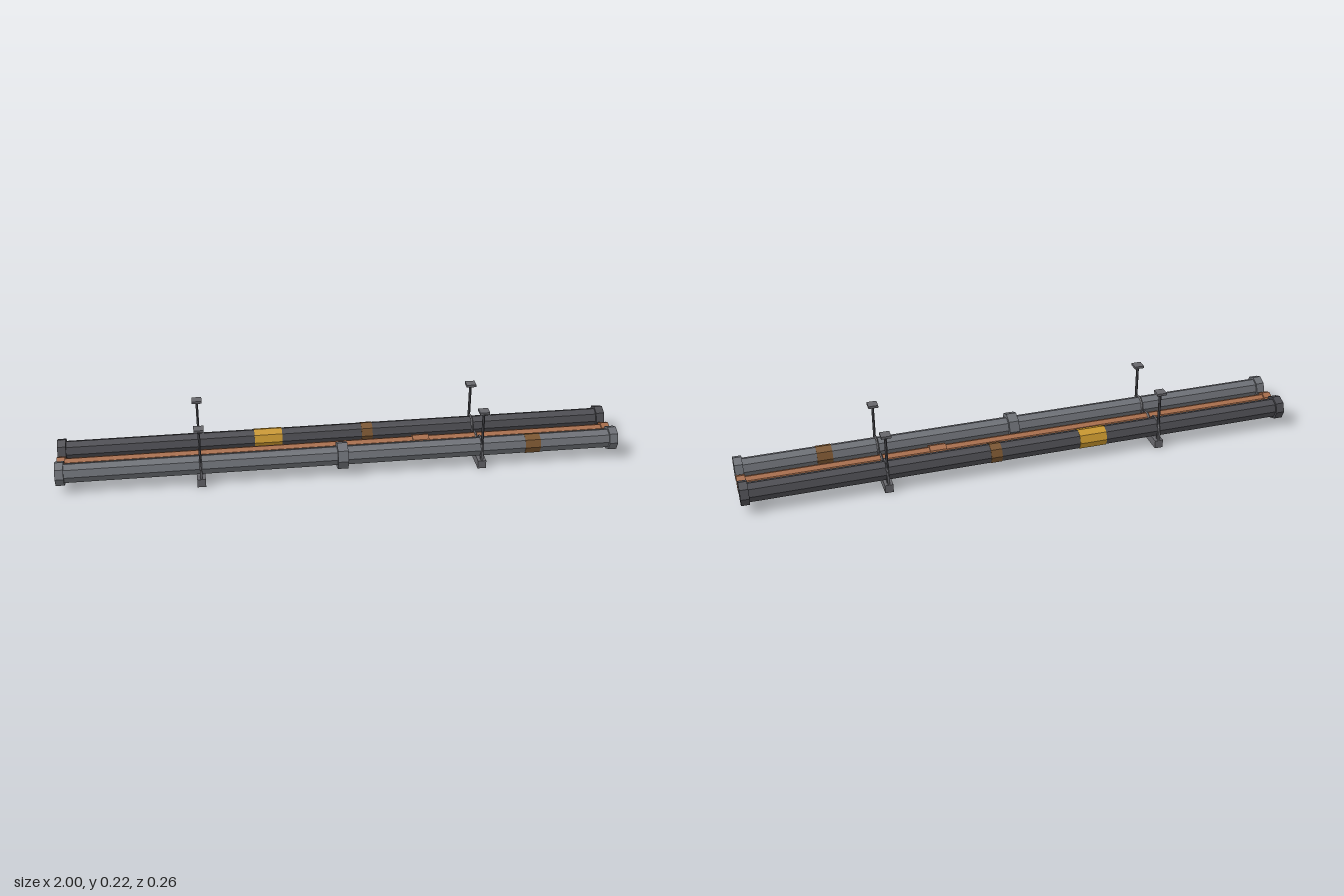
import * as THREE from 'three';

const mat = (name, color) => new THREE.MeshStandardMaterial({ name, color, flatShading: true });

export function createModel() {
  const steel = mat('steel grey', 0x6c6f75);
  const iron = mat('dark iron', 0x4b4b50);
  const copper = mat('copper', 0xa66c4a);
  const yellow = mat('yellow marking', 0xc8962e);
  const rust = mat('rust', 0x7a5530);
  const bracket = mat('bracket grey', 0x66666b);

  const model = new THREE.Group();
  model.name = 'pipeRack';

  const add = (parent, name, geometry, material, x, y, z) => {
    const mesh = new THREE.Mesh(geometry, material);
    mesh.name = name;
    mesh.position.set(x, y, z);
    parent.add(mesh);
    return mesh;
  };
  // Eight-sided cylinder lying along x
  const tube = (r, length) => new THREE.CylinderGeometry(r, r, length, 8).rotateZ(Math.PI / 2);

  // Pipes with end caps, couplings and painted or rusted bands
  const pipes = [
    { name: 'steelPipe', material: steel, y: 0.066, z: 0.078, r: 0.035, cap: 0.0437,
      rings: [['flange', steel, 0, 0.037, 0.05], ['rustBand', rust, 0.688, 0.055, 0.0365]] },
    { name: 'copperPipe', material: copper, y: 0.053, z: -0.002, r: 0.0245, cap: 0.031,
      rings: [['coupling', copper, 0.297, 0.06, 0.03]] },
    { name: 'ironPipe', material: iron, y: 0.066, z: -0.083, r: 0.035, cap: 0.0437,
      rings: [['yellowBand', yellow, -0.25, 0.1, 0.0368], ['rustBand', rust, 0.11, 0.04, 0.0365]] },
  ];
  for (const p of pipes) {
    const group = new THREE.Group();
    group.name = p.name;
    group.position.set(0, p.y, p.z);
    model.add(group);
    add(group, 'pipe', tube(p.r, 1.98), p.material, 0, 0, 0);
    for (const side of [-1, 1]) add(group, 'endCap', tube(p.cap, 0.03), p.material, side * 0.985, 0, 0);
    for (const [name, material, x, length, r] of p.rings) add(group, name, tube(r, length), material, x, 0, 0);
  }

  // Two hangers: cross beam, rods, ceiling plates and pipe clamps
  for (const x of [-0.5, 0.5]) {
    const hanger = new THREE.Group();
    hanger.name = 'hanger';
    hanger.position.x = x;
    model.add(hanger);
    add(hanger, 'crossBeam', new THREE.BoxGeometry(0.03, 0.03, 0.25), bracket, 0, 0.015, -0.002);
    for (const side of [-1, 1]) {
      const z = -0.002 + side * 0.108;
      add(hanger, 'rod', new THREE.CylinderGeometry(0.005, 0.005, 0.19, 6), iron, 0, 0.124, z);
      add(hanger, 'ceilingPlate', new THREE.BoxGeometry(0.035, 0.009, 0.035), bracket, 0, 0.2205, z);
    }
    for (const p of pipes) {
      const r = p.r + 0.003;
      const arch = new THREE.TorusGeometry(r, 0.004, 4, 8, Math.PI).rotateY(Math.PI / 2);
      add(hanger, 'clampArch', arch, bracket, 0, p.y, p.z);
      for (const side of [-1, 1]) {
        add(hanger, 'clampLeg', new THREE.BoxGeometry(0.008, p.y - 0.028, 0.008), bracket,
          0, (p.y + 0.028) / 2, p.z + side * r);
      }
    }
  }
  return model;
}
